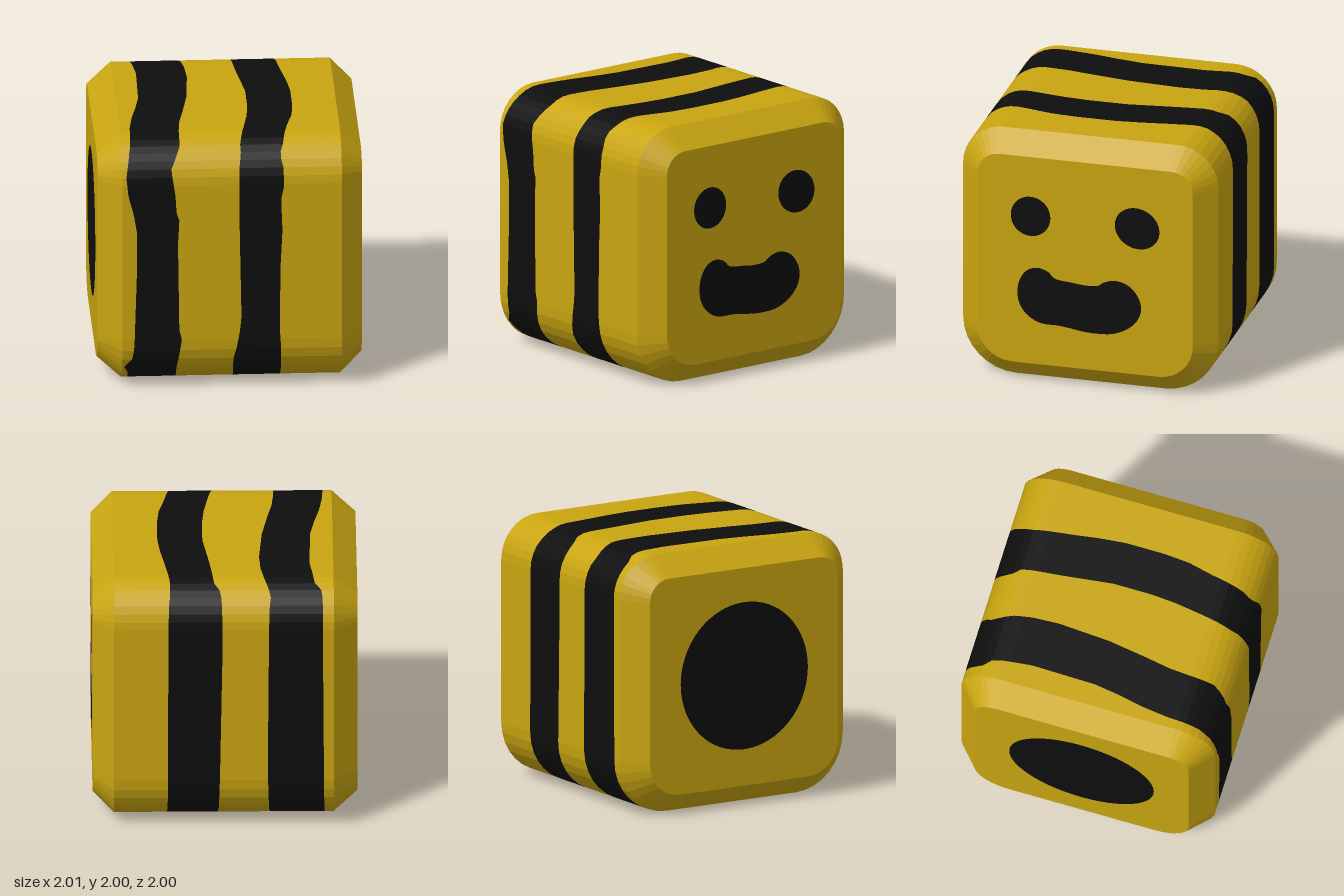
import * as THREE from 'three';

const yellow = new THREE.MeshStandardMaterial({ color: 0xc9a511 });
yellow.name = 'yellow';
const black = new THREE.MeshStandardMaterial({ color: 0x0e0e0e });
black.name = 'black';

const X0 = -0.82, X1 = 0.84; // ends of the straight body, before the bevels
const CY = 1;

// Rounded square in (z, y): up the front, over the top, down the back, along the bottom
function roundedLoop(half, rTop, rBottom) {
  const pts = [];
  const corners = [[1, 1, rTop, 0], [-1, 1, rTop, 1], [-1, -1, rBottom, 2], [1, -1, rBottom, 3]];
  corners.forEach(([sz, sy, r, q], k) => {
    const arc = [];
    for (let i = 0; i <= 8; i++) {
      const a = (q + i / 8) * Math.PI / 2;
      arc.push([sz * (half - r) + r * Math.cos(a), CY + sy * (half - r) + r * Math.sin(a)]);
    }
    pts.push(...arc);
    // straight run to the next corner, finely divided so stripe edges can waver
    const [nz, ny, nr, nq] = corners[(k + 1) % 4];
    const a = nq * Math.PI / 2, p = arc[8];
    const e = [nz * (half - nr) + nr * Math.cos(a), CY + ny * (half - nr) + nr * Math.sin(a)];
    for (let i = 1; i < 40; i++) {
      pts.push([p[0] + (e[0] - p[0]) * i / 40, p[1] + (e[1] - p[1]) * i / 40]);
    }
  });
  return pts;
}

const outer = roundedLoop(1, 0.32, 0.42);
const inner = roundedLoop(0.843, 0.17, 0.27);

// Distance round the body: 0-2 front, 2-4 top, 4-6 back, 6-8 bottom
function around([z, y]) {
  const v = y - CY;
  if (Math.abs(z) >= Math.abs(v)) return z > 0 ? y : 6 - y;
  return v > 0 ? 3 - z : 7 + z;
}

// Wavering edge: x interpolated between [distance, x] keys, closed on itself
function edge(keys) {
  const n = keys.length;
  const all = [[keys[n - 1][0] - 8, keys[n - 1][1]], ...keys, [keys[0][0] + 8, keys[0][1]]];
  return (p) => {
    const u = around(p);
    const i = Math.max(1, all.findIndex((k) => k[0] >= u));
    const [u0, x0] = all[i - 1], [u1, x1] = all[i];
    return x0 + (x1 - x0) * (u - u0) / (u1 - u0);
  };
}

const firstStripe = [
  edge([[0.12, -0.79], [0.22, -0.81], [0.24, -0.75], [0.35, -0.73], [1, -0.71], [1.3, -0.71],
    [1.45, -0.735], [1.6, -0.775], [1.75, -0.79], [1.9, -0.765], [2.4, -0.745], [2.6, -0.72],
    [2.8, -0.68], [3, -0.65], [3.5, -0.64], [3.8, -0.675], [3.83, -0.72], [3.9, -0.735],
    [5, -0.74], [6.1, -0.75], [7.6, -0.76]]),
  edge([[0.12, -0.415], [0.3, -0.39], [0.43, -0.37], [0.5, -0.39], [1.2, -0.4], [1.4, -0.39],
    [1.45, -0.41], [1.6, -0.42], [1.8, -0.45], [1.95, -0.38], [2.3, -0.38], [2.5, -0.365],
    [2.7, -0.33], [3, -0.285], [3.4, -0.26], [3.6, -0.27], [3.75, -0.295], [3.9, -0.345],
    [4.3, -0.33], [5.5, -0.32], [6.2, -0.34], [7.5, -0.4]]),
];
const secondStripe = [
  edge([[0.12, 0.02], [0.25, 0.02], [0.35, 0.045], [0.5, 0.07], [0.6, 0.08], [1.4, 0.065],
    [1.8, 0.065], [1.9, 0.08], [2.1, 0.07], [2.4, 0.12], [2.6, 0.15], [2.8, 0.165],
    [3.1, 0.165], [3.3, 0.14], [3.5, 0.115], [3.8, 0.085], [3.83, 0.05], [3.9, 0.03],
    [4.4, 0.02], [5.5, 0.04], [6.3, 0.06], [7.5, 0.03]]),
  edge([[0.12, 0.385], [0.35, 0.38], [0.5, 0.37], [1, 0.375], [1.3, 0.39], [1.55, 0.38],
    [1.65, 0.4], [1.8, 0.4], [1.87, 0.38], [2.05, 0.385], [2.2, 0.41], [2.4, 0.445],
    [2.6, 0.49], [2.8, 0.505], [3.1, 0.505], [3.3, 0.485], [3.5, 0.455], [3.8, 0.415],
    [4.3, 0.43], [5.8, 0.435], [6.2, 0.44], [6.24, 0.4], [7.5, 0.38]]),
];

// Faceted skin between two loops, each with its own x rule
function skin(name, material, loopA, xA, loopB, xB) {
  const pos = [];
  const at = (loop, x, i) => {
    const p = loop[i % loop.length];
    return [x(p), p[1], p[0]];
  };
  for (let i = 0; i < loopA.length; i++) {
    const a = at(loopA, xA, i), b = at(loopB, xB, i);
    const c = at(loopB, xB, i + 1), d = at(loopA, xA, i + 1);
    pos.push(...a, ...b, ...c, ...a, ...c, ...d);
  }
  const g = new THREE.BufferGeometry();
  g.setAttribute('position', new THREE.Float32BufferAttribute(pos, 3));
  g.computeVertexNormals();
  const mesh = new THREE.Mesh(g, material);
  mesh.name = name;
  return mesh;
}

// Flat plate facing +x (side 1) or -x (side -1)
function plate(name, material, shape, side, x, y = 0, z = 0) {
  const mesh = new THREE.Mesh(new THREE.ShapeGeometry(shape, 32), material);
  mesh.rotation.y = side * Math.PI / 2;
  mesh.position.set(side * x, y, z);
  mesh.name = name;
  return mesh;
}

const ellipse = (rx, ry, tilt = 0) =>
  new THREE.Shape().absellipse(0, 0, rx, ry, 0, Math.PI * 2, false, tilt);

export function createModel() {
  const model = new THREE.Group();
  model.name = 'stripedCube';
  const flat = (x) => () => x;

  // Body bands and stripes, from -x to +x
  const rules = [flat(X0), ...firstStripe, ...secondStripe, flat(X1)];
  const names = ['bodyBandRight', 'stripeRight', 'bodyBandMiddle', 'stripeLeft', 'bodyBandLeft'];
  names.forEach((name, i) => {
    model.add(skin(name, i % 2 ? black : yellow, outer, rules[i], outer, rules[i + 1]));
  });

  // Bevels and end faces
  model.add(skin('bevelLeft', yellow, outer, flat(X1), inner, flat(1)));
  model.add(skin('bevelRight', yellow, inner, flat(-1), outer, flat(X0)));
  const endShape = new THREE.Shape(inner.map(([z, y]) => new THREE.Vector2(z, y)));
  model.add(plate('endLeft', yellow, endShape, 1, 1), plate('endRight', yellow, endShape, -1, 1));

  // Face on the +x end
  model.add(plate('eyeFront', black, ellipse(0.155, 0.16), 1, 1.003, 1.36, 0.427));
  model.add(plate('eyeBack', black, ellipse(0.178, 0.163, -0.5), 1, 1.003, 1.35, -0.408));
  const mouth = [[0.53, 0.73], [0.51, 0.84], [0.45, 0.92], [0.37, 0.945], [0.29, 0.92],
    [0.24, 0.873], [0.1, 0.853], [0, 0.842], [-0.1, 0.85], [-0.15, 0.883], [-0.24, 0.905],
    [-0.34, 0.875], [-0.41, 0.8], [-0.44, 0.7], [-0.41, 0.6], [-0.33, 0.52], [-0.22, 0.47],
    [-0.1, 0.458], [0, 0.462], [0.2, 0.49], [0.35, 0.497], [0.45, 0.55], [0.51, 0.63]];
  const curve = new THREE.CatmullRomCurve3(mouth.map(([z, y]) => new THREE.Vector3(-z, y, 0)), true);
  const outline = curve.getPoints(90).slice(0, -1).map((p) => new THREE.Vector2(p.x, p.y));
  model.add(plate('mouth', black, new THREE.Shape(outline), 1, 1.003));

  // Round spot on the -x end
  model.add(plate('spot', black, ellipse(0.57, 0.57), -1, 1.003, 1.01, 0));
  return model;
}
